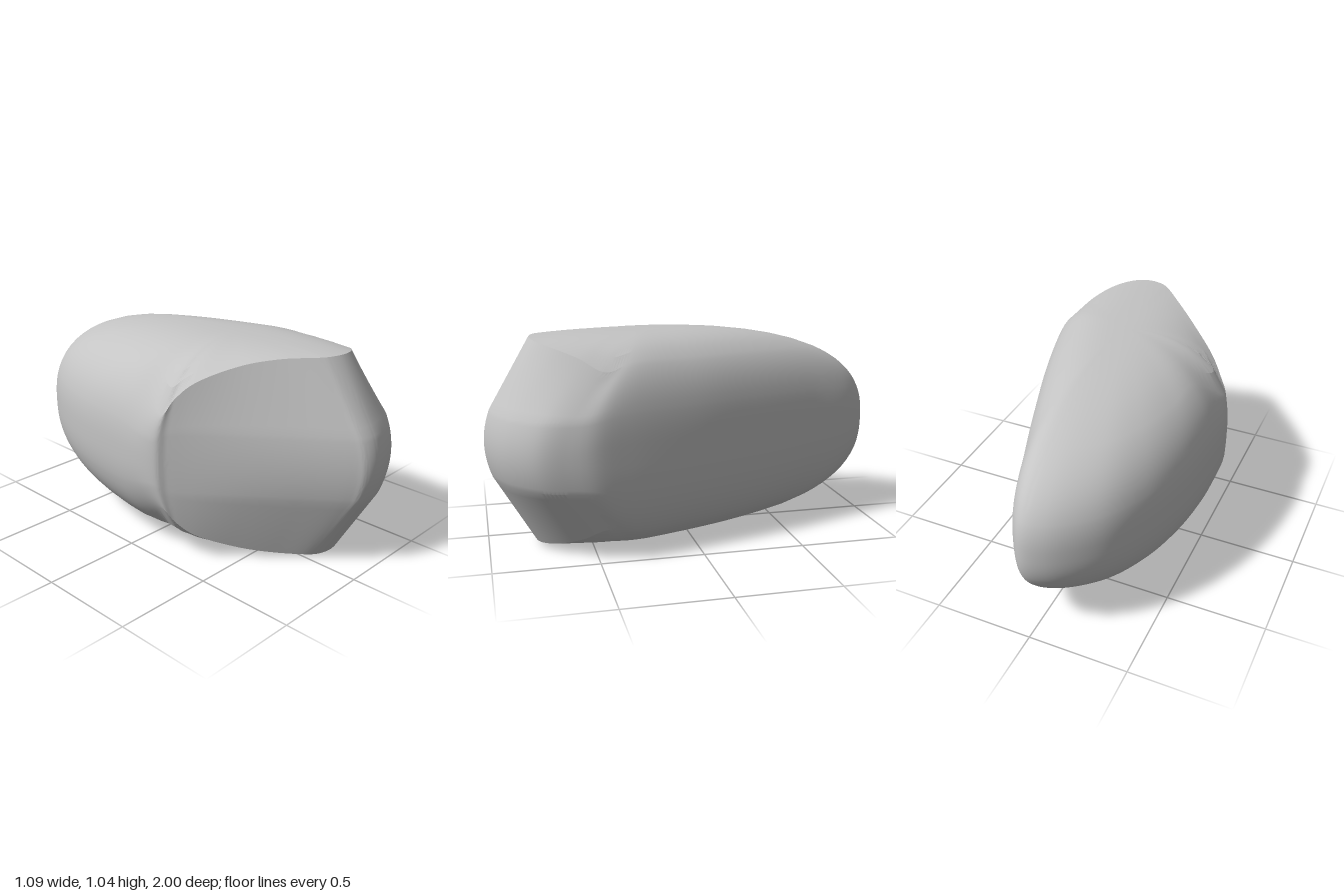
import * as THREE from 'three';
import { toCreasedNormals } from 'three/addons/utils/BufferGeometryUtils.js';

const MID = 0.522; // height of the mirror plane between upper and lower half
const CROWN = { x: 0.05, z: 0.2, height: 0.521 }; // top of the cap, above MID

// How boxy the vertical profile is: the long right side is squarer than the rest
const boxiness = (x) => 2.5 + 0.5 * THREE.MathUtils.smoothstep(x, 0, 0.3);

// Columns round the outline: waist x, waist z, then for bevelled ones
// shoulder x, shoulder z, shoulder height, roundness
const COLUMNS = [
  // flat slanted face
  [-0.535, 0.2, -0.5, 0.235, 0.24, 0.6],
  [-0.49, 0.26, -0.455, 0.275, 0.315, 0.3],
  [-0.42, 0.35, -0.39, 0.33, 0.385, 0.1],
  [-0.25, 0.575, -0.23, 0.47, 0.465, 0],
  [-0.1, 0.77, -0.1, 0.6, 0.497, 0],
  [0.035, 0.945, 0.01, 0.72, 0.505, 0],
  // chamfered nose
  [0.065, 0.98, 0.05, 0.75, 0.506, 0],
  [0.13, 1.0, 0.13, 0.77, 0.504, 0],
  [0.26, 0.97, 0.22, 0.75, 0.495, 0],
  [0.39, 0.9, 0.31, 0.68, 0.475, 0],
  [0.5, 0.78, 0.39, 0.57, 0.435, 0],
  [0.54, 0.63, 0.45, 0.45, 0.375, 0.1],
  // long side
  [0.515, 0.35], [0.42, 0], [0.31, -0.32], [0.18, -0.68], [0.08, -0.94],
  // rounded rear
  [0.015, -1.0], [-0.11, -0.975], [-0.3, -0.82], [-0.425, -0.6], [-0.505, -0.33], [-0.54, -0.03],
];

// Fully round columns take their shoulder from the profile at 45 degrees
function completeColumn([x, z, ...bevel]) {
  if (bevel.length) return [x, z, ...bevel];
  const k = 0.5 ** (1 / boxiness(x));
  return [x, z, CROWN.x + (x - CROWN.x) * k, CROWN.z + (z - CROWN.z) * k, CROWN.height * k, 1];
}

const columns = COLUMNS.map(completeColumn);
const ring = (pick) => new THREE.CatmullRomCurve3(columns.map(pick), true, 'centripetal');
const waist = ring((c) => new THREE.Vector3(c[0], c[5], c[1]));
const shoulder = ring((c) => new THREE.Vector3(c[2], c[4], c[3]));

// Point on the upper half: v 0..1 waist band, 1..2 bevel, 2..3 domed cap
function upperPoint(t, v) {
  const { lerp, clamp } = THREE.MathUtils;
  const m = waist.getPoint(t);
  const e = shoulder.getPoint(t);
  const n = boxiness(m.x);
  if (v > 2) {
    const s = v - 2;
    const edge = 1 - (e.y / CROWN.height) ** n;
    const height = CROWN.height * (1 - (1 - s) ** n * edge) ** (1 / n);
    return new THREE.Vector3(lerp(e.x, CROWN.x, s), height, lerp(e.z, CROWN.z, s));
  }
  // straight bevel
  const bandTop = Math.min(0.165, e.y * 0.6);
  const flatIn = v <= 1 ? 0.14 * v * v : lerp(0.14, 1, v - 1);
  const flatUp = v <= 1 ? bandTop * v : lerp(bandTop, e.y, v - 1);
  // round profile
  const angle = (Math.PI / 4) * (v <= 1 ? 0.31 * v : lerp(0.31, 1, v - 1));
  const k = 0.5 ** (1 / n);
  const roundIn = (1 - Math.cos(angle) ** (2 / n)) / (1 - k);
  const roundUp = (e.y * Math.sin(angle) ** (2 / n)) / k;

  const round = clamp(m.y, 0, 1);
  const inward = lerp(flatIn, roundIn, round);
  return new THREE.Vector3(lerp(m.x, e.x, inward), lerp(flatUp, roundUp, round), lerp(m.z, e.z, inward));
}

function bodyGeometry() {
  const around = columns.length * 8;
  const perZone = 8;
  const half = perZone * 3;
  const rows = half * 2;
  const positions = [];
  const index = [];
  for (let j = 0; j <= rows; j++) {
    const step = j - half;
    for (let i = 0; i < around; i++) {
      const p = upperPoint(i / around, Math.abs(step) / perZone);
      positions.push(p.x, MID + Math.sign(step) * p.y, p.z);
    }
  }
  for (let j = 0; j < rows; j++) {
    for (let i = 0; i < around; i++) {
      const a = j * around + i;
      const b = j * around + ((i + 1) % around);
      const c = b + around;
      const d = a + around;
      // one triangle per cell at the two poles
      if (j > 0) index.push(a, b, c);
      if (j < rows - 1) index.push(a, c, d);
    }
  }
  const geometry = new THREE.BufferGeometry();
  geometry.setAttribute('position', new THREE.Float32BufferAttribute(positions, 3));
  geometry.setIndex(index);
  return toCreasedNormals(geometry, 0.27);
}

export function createModel() {
  const group = new THREE.Group();
  group.name = 'bevelledStone';
  const grey = new THREE.MeshStandardMaterial({ color: 0xc4c4c4 });
  grey.name = 'stone grey';
  const body = new THREE.Mesh(bodyGeometry(), grey);
  body.name = 'stoneBody';
  group.add(body);
  return group;
}
